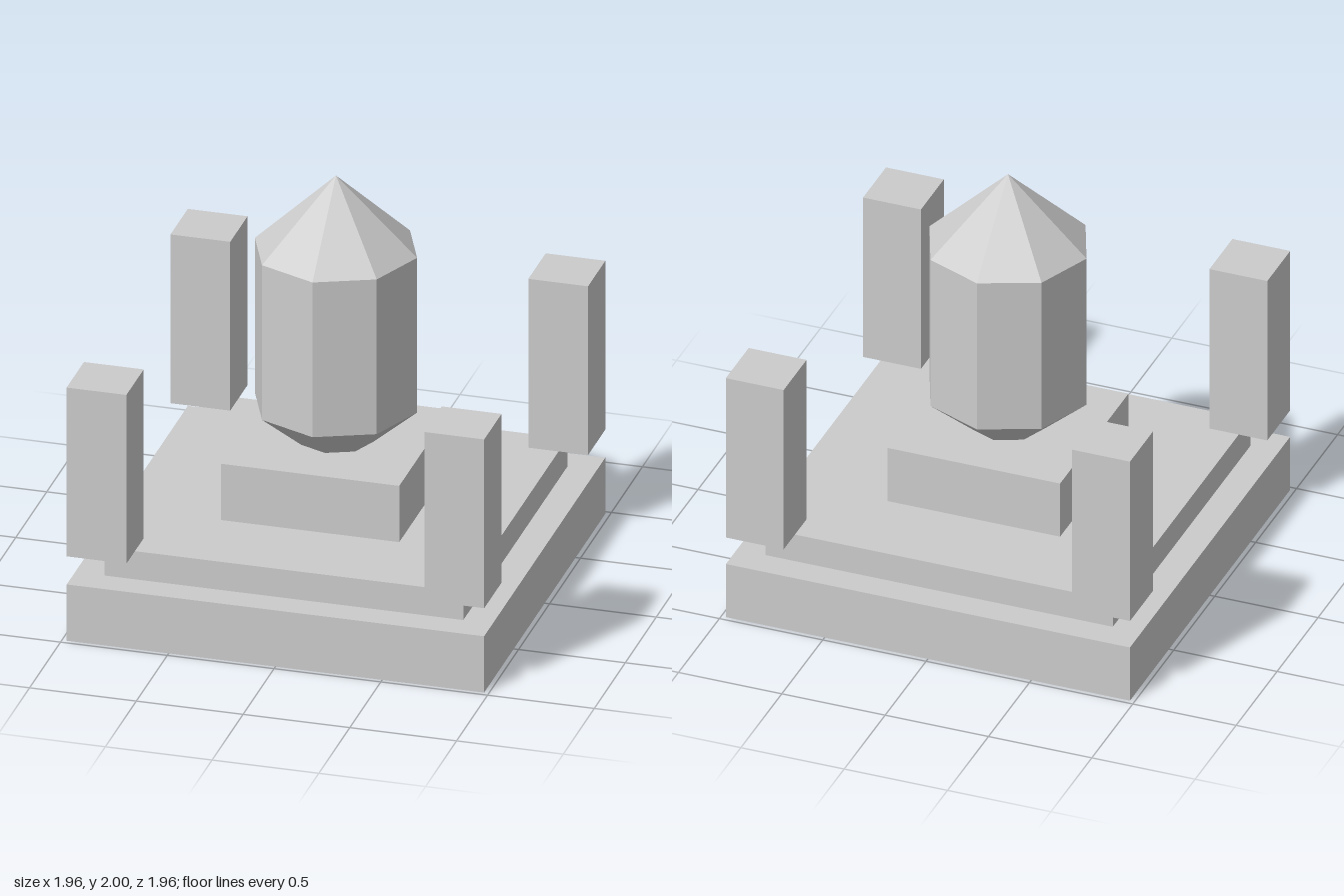
import * as THREE from 'three';

export function createModel() {
  const model = new THREE.Group();
  const material = new THREE.MeshStandardMaterial({ color: 0xcccccc, flatShading: true });

  const add = (name, geometry, x, y, z) => {
    const mesh = new THREE.Mesh(geometry, material);
    mesh.name = name;
    mesh.position.set(x, y, z);
    model.add(mesh);
  };
  // Square block of the given width between two heights
  const block = (name, width, y0, y1, x = 0, z = 0) =>
    add(name, new THREE.BoxGeometry(width, y1 - y0, width), x, (y0 + y1) / 2, z);
  // Eight-sided section between two heights
  const section = (name, rTop, rBottom, y0, y1, open) =>
    add(name, new THREE.CylinderGeometry(rTop, rBottom, y1 - y0, 8, 1, open), 0, (y0 + y1) / 2, 0);

  // Stepped base
  block('base', 1.955, 0, 0.28);
  block('step', 1.68, 0.28, 0.42);
  block('plinth', 0.835, 0.42, 0.7);

  // Corner pillars, overhanging the step
  for (const x of [-1, 1]) {
    for (const z of [-1, 1]) {
      block('cornerPillar', 0.28, 0.42, 1.26, x * 0.838, z * 0.838);
    }
  }

  // Crystal, its lower point sunk into the plinth
  section('crystalLowerPoint', 0.38, 0, 0.55, 0.87, true);
  section('crystalBody', 0.38, 0.38, 0.87, 1.64, true);
  section('crystalUpperPoint', 0, 0.38, 1.64, 2, true);

  return model;
}
